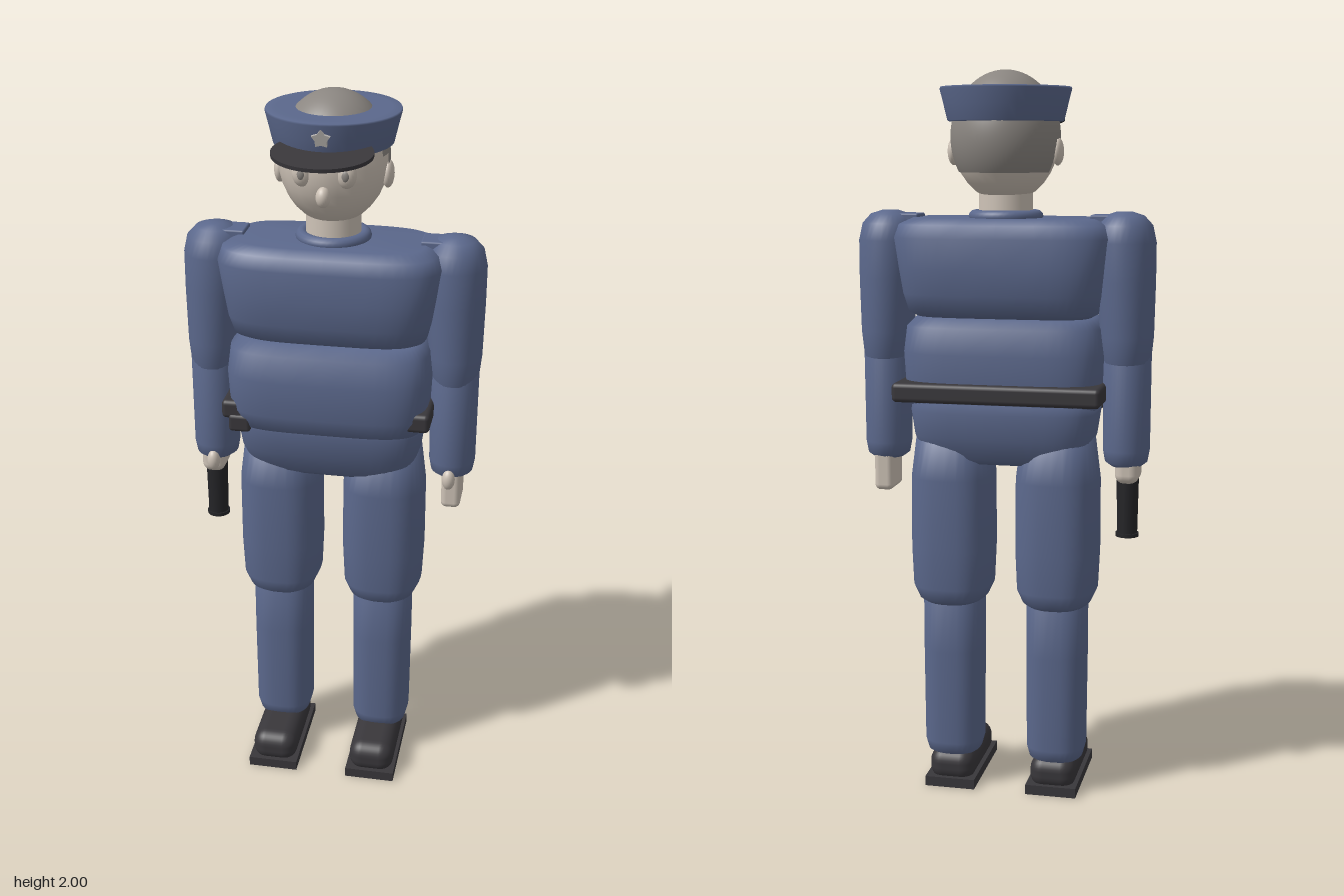
import * as THREE from 'three';
import { RoundedBoxGeometry } from 'three/addons/geometries/RoundedBoxGeometry.js';

const material = (name, color) => {
  const m = new THREE.MeshStandardMaterial({ color });
  m.name = name;
  return m;
};

// Smooth closed body through rings [y, half width, half depth, centre x, centre z], listed upwards.
// power 2 gives round sections, higher values squarer ones.
function loft(rings, power = 2, n = 32) {
  const first = rings[0], last = rings[rings.length - 1];
  const cap = ([y, , , cx, cz]) => [y, 0, 0, cx, cz];
  const all = [cap(first), ...rings, cap(last)];
  const pos = [], index = [];
  const bend = (v) => Math.sign(v) * Math.abs(v) ** (2 / power);
  all.forEach(([y, hx, hz, cx = 0, cz = 0], j) => {
    for (let i = 0; i < n; i++) {
      const a = (i / n) * Math.PI * 2;
      pos.push(cx + hx * bend(Math.cos(a)), y, cz + hz * bend(Math.sin(a)));
      if (j === all.length - 1) continue;
      const p = j * n + i, q = j * n + (i + 1) % n;
      index.push(p, p + n, q, q, p + n, q + n);
    }
  });
  const g = new THREE.BufferGeometry();
  g.setAttribute('position', new THREE.Float32BufferAttribute(pos, 3));
  g.setIndex(index);
  g.computeVertexNormals();
  return g;
}

export function createModel() {
  const model = new THREE.Group();
  model.name = 'uniformedOfficer';
  const blue = material('uniformBlue', 0x5b688c);
  const skin = material('skin', 0xcdc2b6);
  const hair = material('hairGrey', 0x8b8681);
  const dark = material('darkLeather', 0x39373b);
  const black = material('batonBlack', 0x242427);
  const silver = material('badgeSilver', 0xb5b2ae);

  const add = (name, geometry, mat, x = 0, y = 0, z = 0) => {
    const mesh = new THREE.Mesh(geometry, mat);
    mesh.name = name;
    mesh.position.set(x, y, z);
    model.add(mesh);
    return mesh;
  };
  const ball = (name, mat, x, y, z, rx, ry, rz) => {
    const mesh = add(name, new THREE.SphereGeometry(1, 24, 16), mat, x, y, z);
    mesh.scale.set(rx, ry, rz);
    return mesh;
  };

  // Torso
  add('chest', loft([
    [1.345, 0.235, 0.11, 0, -0.03], [1.36, 0.262, 0.135, 0, -0.03], [1.41, 0.275, 0.157, 0, -0.03],
    [1.48, 0.287, 0.161, 0, -0.03], [1.56, 0.3, 0.16, 0, -0.03], [1.595, 0.288, 0.145, 0, -0.03],
    [1.612, 0.25, 0.115, 0, -0.03]], 4, 48), blue);
  add('abdomen', loft([
    [1.085, 0.23, 0.11, 0, -0.02], [1.1, 0.258, 0.14, 0, -0.02], [1.15, 0.272, 0.156, 0, -0.018],
    [1.25, 0.278, 0.158, 0, -0.018], [1.32, 0.27, 0.142, 0, -0.02], [1.35, 0.24, 0.12, 0, -0.022]], 4, 48), blue);
  add('hips', loft([
    [0.945, 0.2, 0.085, 0, -0.035], [0.96, 0.225, 0.105, 0, -0.035], [1.02, 0.248, 0.13, 0, -0.033],
    [1.09, 0.258, 0.14, 0, -0.03], [1.14, 0.25, 0.13, 0, -0.03]], 4, 48), blue);

  // Belt with a small pouch below it
  add('belt', new RoundedBoxGeometry(0.57, 0.053, 0.3, 3, 0.013), dark, 0, 1.147, -0.045);
  add('beltPouch', new RoundedBoxGeometry(0.06, 0.05, 0.07, 2, 0.01), dark, -0.235, 1.11, 0.075);

  for (const s of [1, -1]) {
    const side = s > 0 ? 'left' : 'right';

    // Legs
    const legX = 0.148 * s;
    add(side + 'Thigh', loft([
      [0.54, 0.075, 0.085, legX, -0.043], [0.555, 0.095, 0.105, legX, -0.043],
      [0.59, 0.111, 0.114, legX, -0.043], [0.7, 0.116, 0.117, legX, -0.042],
      [0.9, 0.115, 0.119, legX, -0.04], [1.02, 0.1, 0.105, legX, -0.04]], 2.6), blue);
    add(side + 'Shin', loft([
      [0.088, 0.06, 0.06, legX, -0.043], [0.1, 0.075, 0.077, legX, -0.043],
      [0.13, 0.083, 0.084, legX, -0.043], [0.4, 0.085, 0.086, legX, -0.043],
      [0.6, 0.085, 0.086, legX, -0.043]], 2.6), blue);

    // Shoes
    add(side + 'Sole', new THREE.BoxGeometry(0.143, 0.028, 0.3), dark, 0.146 * s, 0.014, 0.02);
    add(side + 'Shoe', new RoundedBoxGeometry(0.13, 0.095, 0.285, 4, 0.04), dark, 0.146 * s, 0.0575, 0.02);

    // Arms
    add(side + 'UpperArm', loft([
      [1.215, 0.05, 0.06, 0.335 * s, -0.043], [1.23, 0.064, 0.073, 0.335 * s, -0.043],
      [1.3, 0.072, 0.082, 0.334 * s, -0.044], [1.45, 0.08, 0.088, 0.329 * s, -0.045],
      [1.55, 0.084, 0.088, 0.325 * s, -0.045], [1.595, 0.076, 0.078, 0.323 * s, -0.045],
      [1.62, 0.053, 0.054, 0.323 * s, -0.045], [1.63, 0.022, 0.022, 0.323 * s, -0.045]]), blue);
    add(side + 'Forearm', loft([
      [0.945, 0.042, 0.046, 0.336 * s, -0.041], [0.957, 0.058, 0.063, 0.336 * s, -0.041],
      [0.99, 0.064, 0.069, 0.336 * s, -0.041], [1.27, 0.066, 0.072, 0.335 * s, -0.042]]), blue);
    add(side + 'ShoulderTab', new RoundedBoxGeometry(0.085, 0.024, 0.077, 2, 0.005), blue, 0.278 * s, 1.61, -0.042);

    // Hands: open on the left, gripping on the right
    if (s > 0) add('leftHand', new RoundedBoxGeometry(0.054, 0.13, 0.11, 3, 0.016), skin, 0.34, 0.918, -0.04);
    else add('rightFist', new RoundedBoxGeometry(0.066, 0.08, 0.1, 3, 0.025), skin, -0.342, 0.938, -0.04);
    ball(side + 'Thumb', skin, 0.334 * s, 0.948, 0.022, 0.018, 0.03, 0.019);

    // Eyes and ears
    ball(side + 'Eye', skin, 0.057 * s, 1.818, 0.092, 0.026, 0.036, 0.022);
    ball(side + 'Iris', hair, 0.057 * s, 1.818, 0.108, 0.011, 0.016, 0.008);
    ball(side + 'Ear', skin, 0.142 * s, 1.787, -0.045, 0.016, 0.037, 0.031);
  }

  // Baton hanging from the right fist
  add('baton', new THREE.CylinderGeometry(0.031, 0.028, 0.19, 24), black, -0.341, 0.842, -0.04);
  add('batonRim', new THREE.CylinderGeometry(0.032, 0.032, 0.01, 24), black, -0.341, 0.751, -0.04);

  // Neck and collar
  add('neck', new THREE.CylinderGeometry(0.072, 0.075, 0.12, 32), skin, 0, 1.63, -0.04);
  const collar = add('collar', new THREE.TorusGeometry(0.084, 0.017, 12, 40), blue, 0, 1.616, -0.04);
  collar.rotation.x = Math.PI / 2;

  // Head
  const headY = 1.825, headZ = -0.042;
  ball('head', skin, 0, headY, headZ, 0.144, 0.172, 0.154);
  ball('nose', skin, 0, 1.761, 0.108, 0.019, 0.027, 0.022);

  // Hair in stepped patches, each [name, phi from, phi to, theta from, theta to] in degrees
  const rad = THREE.MathUtils.degToRad;
  for (const [name, p0, p1, t0, t1] of [
    ['crownHair', 0, 360, 0, 77], ['templeHair', 159, 381, 77, 83],
    ['sideHair', 172, 368, 83, 92], ['backHair', 191, 349, 92, 122]]) {
    const patch = add(name, new THREE.SphereGeometry(1, 40, 14, rad(p0), rad(p1 - p0), rad(t0), rad(t1 - t0)),
      hair, 0, headY, headZ);
    patch.scale.set(0.147, 0.175, 0.159);
  }

  // Cap, peak and badge
  const capProfile = [[0.12, 1.868], [0.15, 1.865], [0.156, 1.868], [0.166, 1.91], [0.176, 1.95],
    [0.174, 1.955], [0.15, 1.956], [0.08, 1.956]].map(([r, y]) => new THREE.Vector2(r, y));
  add('cap', new THREE.LatheGeometry(capProfile, 48), blue, 0, 0, -0.04).scale.z = 1.035;
  const peak = add('capPeak', new THREE.CylinderGeometry(0.13, 0.13, 0.01, 40), dark, 0, 1.877, 0.12);
  peak.scale.z = 0.78;
  peak.rotation.x = 0.16;
  const star = new THREE.Shape();
  for (let i = 0; i < 10; i++) {
    const a = Math.PI / 2 + (i * Math.PI) / 5, r = i % 2 ? 0.016 : 0.025;
    star[i ? 'lineTo' : 'moveTo'](Math.cos(a) * r, Math.sin(a) * r);
  }
  star.closePath();
  const badge = add('capBadge', new THREE.ExtrudeGeometry(star, { depth: 0.008, bevelEnabled: false }),
    silver, 0, 1.918, 0.132);
  badge.rotation.x = 0.22;

  return model;
}
